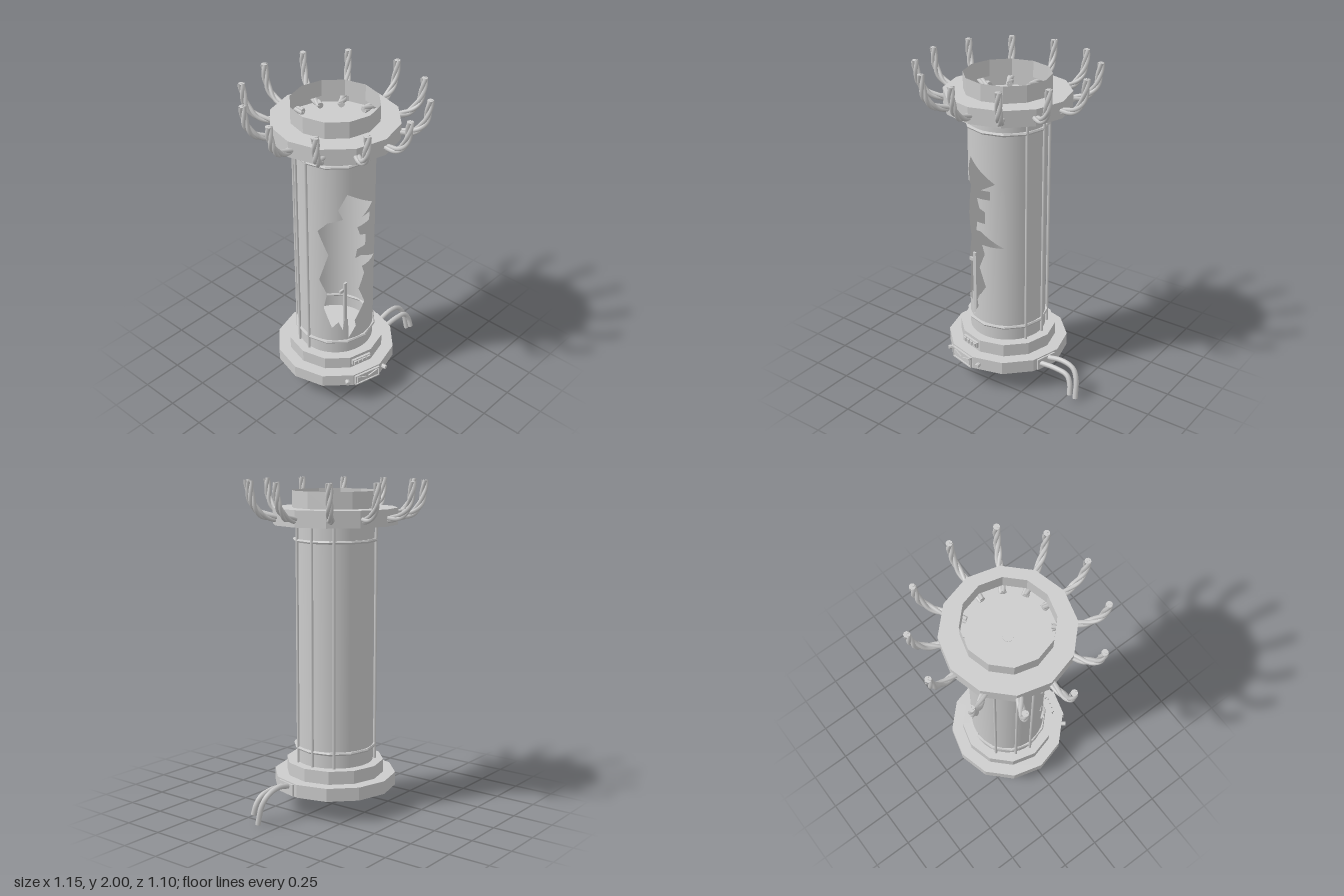
import * as THREE from 'three';

const V3 = (x, y, z) => new THREE.Vector3(x, y, z);
const grey = (o = {}) => new THREE.MeshStandardMaterial({ color: 0xcccccc, ...o });
const smooth = grey();
const flat = grey({ flatShading: true });
const shell = grey({ flatShading: true, side: THREE.DoubleSide });
const thin = grey({ side: THREE.DoubleSide });

const deg = THREE.MathUtils.degToRad;
const TUBE_R = 0.235;

// Jagged hole edge: [sideways offset from the axis, height]
const HOLE = [
  [-0.12, 1.465], [0.07, 1.34], [-0.025, 1.285], [0.04, 1.29], [0.038, 1.235], [-0.06, 1.225],
  [-0.04, 1.165], [0.005, 1.15], [0.003, 1.075], [-0.06, 1.07], [-0.07, 1.01], [-0.03, 1.015],
  [0.12, 0.93], [-0.022, 0.93], [-0.002, 0.87], [-0.045, 0.77], [0.004, 0.65], [-0.07, 0.535],
  [-0.062, 0.49], [-0.107, 0.41], [-0.112, 0.56], [-0.13, 0.57], [-0.14, 0.48], [-0.16, 0.545],
  [-0.187, 0.5], [-0.213, 0.65], [-0.203, 0.76], [-0.223, 0.86], [-0.198, 1.05], [-0.225, 1.21],
  [-0.2, 1.275], [-0.14, 1.3], [-0.162, 1.365],
];

// Tube wall cut into angular columns; each column is filled above and below the hole edges
function brokenTube(r, bottom, top, hole) {
  const pts = hole.map(([x, y]) => [Math.asin(x / r), y]);
  const cuts = pts.map(p => p[0]);
  for (let i = 0; i <= 48; i++) cuts.push(-Math.PI + (i * Math.PI) / 24);
  cuts.sort((a, b) => a - b);
  const edges = pts.map((p, i) => [p, pts[(i + 1) % pts.length]]);
  const yAt = ([p, q], a) => p[1] + ((q[1] - p[1]) * (a - p[0])) / (q[0] - p[0]);
  const pos = [], nor = [];
  const put = (a, y) => {
    pos.push(r * Math.sin(a), y, r * Math.cos(a));
    nor.push(Math.sin(a), 0, Math.cos(a));
  };
  for (let i = 0; i + 1 < cuts.length; i++) {
    const a = cuts[i], b = cuts[i + 1], m = (a + b) / 2;
    if (b - a < 1e-6) continue;
    const hits = edges.filter(([p, q]) => (p[0] - m) * (q[0] - m) < 0)
      .sort((e, f) => yAt(e, m) - yAt(f, m))
      .map(e => [yAt(e, a), yAt(e, b)]);
    const levels = [[bottom, bottom], ...hits, [top, top]];
    for (let k = 0; k < levels.length; k += 2) {
      const [la, lb] = levels[k], [ua, ub] = levels[k + 1];
      put(a, la); put(b, lb); put(b, ub);
      put(a, la); put(b, ub); put(a, ua);
    }
  }
  const g = new THREE.BufferGeometry();
  g.setAttribute('position', new THREE.Float32BufferAttribute(pos, 3));
  g.setAttribute('normal', new THREE.Float32BufferAttribute(nor, 3));
  return g;
}

// Strand winding around a path that lies in the x-y plane
function strand(path, phase, offset, radius, turns) {
  const pts = [];
  for (let i = 0; i <= 30; i++) {
    const t = i / 30, p = path.getPointAt(t), d = path.getTangentAt(t);
    const w = phase + t * turns * Math.PI * 2;
    p.addScaledVector(V3(-d.y, d.x, 0), Math.cos(w) * offset);
    p.z += Math.sin(w) * offset;
    pts.push(p);
  }
  return new THREE.TubeGeometry(new THREE.CatmullRomCurve3(pts), 32, radius, 6);
}

export function createModel() {
  const model = new THREE.Group();
  model.name = 'brokenCanister';
  const body = new THREE.Group();
  body.name = 'body';
  body.position.x = -0.0275;
  model.add(body);

  const add = (name, geo, mat, parent = body) => {
    const m = new THREE.Mesh(geo, mat);
    m.name = name;
    parent.add(m);
    return m;
  };
  const lathe = (name, profile) =>
    add(name, new THREE.LatheGeometry(profile.map(p => new THREE.Vector2(...p)), 12), shell);
  // Group standing on the wall at an angle, with its own +z pointing outward
  const mount = (name, angle, r, y) => {
    const g = new THREE.Group();
    g.name = name;
    g.rotation.y = deg(angle);
    g.position.set(r * Math.sin(deg(angle)), y, r * Math.cos(deg(angle)));
    body.add(g);
    return g;
  };
  const box = (name, parent, w, h, d, x = 0, y = 0, z = 0, mat = flat) => {
    const m = add(name, new THREE.BoxGeometry(w, h, d), mat, parent);
    m.position.set(x, y, z);
    return m;
  };

  // Stepped base and collar, hollow
  lathe('base', [[0.375, 0.14], [0.375, 0.22], [0.3, 0.22], [0.3, 0.3], [0, 0.3]]);
  lathe('collar', [[0, 1.742], [0.375, 1.742], [0.375, 1.84], [0.258, 1.84], [0.258, 1.94]]);
  add('collarHub', new THREE.CylinderGeometry(0.032, 0.032, 0.006, 16), smooth).position.y = 1.744;

  // Main tube with its broken front
  add('tube', brokenTube(TUBE_R, 0.3, 1.742, HOLE), thin);
  box('innerBar', body, 0.022, 0.42, 0.012, -0.115, 0.62, 0.185);
  box('innerBarTab', body, 0.035, 0.02, 0.012, -0.14, 0.775, 0.178);

  // Bands and upright rods
  for (const y of [0.39, 1.65]) {
    const band = add('band', new THREE.TorusGeometry(0.243, 0.011, 6, 12), flat);
    band.rotation.x = Math.PI / 2;
    band.position.y = y;
  }
  for (const a of [62, 94, 126, 215, 246, 270]) {
    const rod = mount('rod', a, 0.245, 1.02);
    add('rodBar', new THREE.CylinderGeometry(0.009, 0.009, 1.444, 8), smooth, rod);
  }

  // Twisted cables curling up from the collar
  const cablePath = new THREE.CatmullRomCurve3([
    V3(0.235, 1.79, 0), V3(0.37, 1.785, 0), V3(0.45, 1.803, 0),
    V3(0.503, 1.86, 0), V3(0.522, 1.94, 0), V3(0.527, 2, 0),
  ]);
  const strands = [0, 1, 2].map(k => strand(cablePath, (k * Math.PI * 2) / 3, 0.0105, 0.0125, 1.6));
  const cap = new THREE.CircleGeometry(0.019, 8);
  for (let i = 0; i < 12; i++) {
    const cable = new THREE.Group();
    cable.name = 'cable';
    cable.rotation.y = deg(i * 30 + 4 - 0.42 * ((i + 11) % 12));
    for (const g of strands) add('cableStrand', g, smooth, cable);
    const top = add('cableTip', cap, thin, cable);
    top.position.set(0.527, 1.999, 0);
    top.rotation.x = -Math.PI / 2;
    const inner = add('cableRoot', cap, thin, cable);
    inner.position.set(0.236, 1.79, 0);
    inner.rotation.y = -Math.PI / 2;
    body.add(cable);
  }

  // Front plate with two facing triangles
  const plate = mount('frontPlate', -15, 0.362, 0.177);
  box('plateBack', plate, 0.18, 0.07, 0.012);
  for (const s of [-1, 1]) {
    box('plateRail', plate, 0.18, 0.007, 0.012, 0, s * 0.032, 0.008);
    box('plateSide', plate, 0.007, 0.07, 0.012, s * 0.087, 0, 0.008);
    const tri = new THREE.Shape([[0.075, -0.024], [0.075, 0.024], [0.008, 0]].map(p => new THREE.Vector2(...p)));
    const mark = add('triangle', new THREE.ExtrudeGeometry(tri, { depth: 0.01, bevelEnabled: false }), flat, plate);
    mark.rotation.z = s < 0 ? Math.PI : 0;
    mark.position.z = 0.004;
  }
  // Bolts either side of the plate
  for (const a of [6, -36]) {
    const bolt = mount('bolt', a, 0.375, 0.175);
    const head = add('boltHead', new THREE.CylinderGeometry(0.014, 0.014, 0.04, 8), flat, bolt);
    head.rotation.x = Math.PI / 2;
  }

  // Row of keys on the upper step
  const keys = mount('keyPanel', -15, 0.29, 0.262);
  box('keyBack', keys, 0.13, 0.036, 0.03);
  for (let i = 0; i < 4; i++) box('key', keys, 0.024, 0.024, 0.02, (i - 1.5) * 0.031, 0, 0.015);

  // Side plate with two drooping hoses
  const socket = mount('hosePlate', 75, 0.362, 0.177);
  box('hosePlateBox', socket, 0.14, 0.07, 0.02);
  const hoses = [
    [[0.34, 0.19, 0.075], [0.46, 0.208, 0.075], [0.54, 0.185, 0.078], [0.575, 0.13, 0.095], [0.588, 0.008, 0.12]],
    [[0.33, 0.178, 0.135], [0.45, 0.182, 0.135], [0.535, 0.165, 0.137], [0.565, 0.12, 0.15], [0.575, 0.055, 0.165]],
  ];
  for (const h of hoses) {
    const curve = new THREE.CatmullRomCurve3(h.map(p => V3(...p)));
    add('hose', new THREE.TubeGeometry(curve, 24, 0.016, 8), thin);
    const end = add('hoseEnd', new THREE.CircleGeometry(0.016, 8), thin);
    end.position.copy(curve.getPointAt(1));
    end.lookAt(end.position.clone().add(curve.getTangentAt(1)));
  }
  return model;
}
